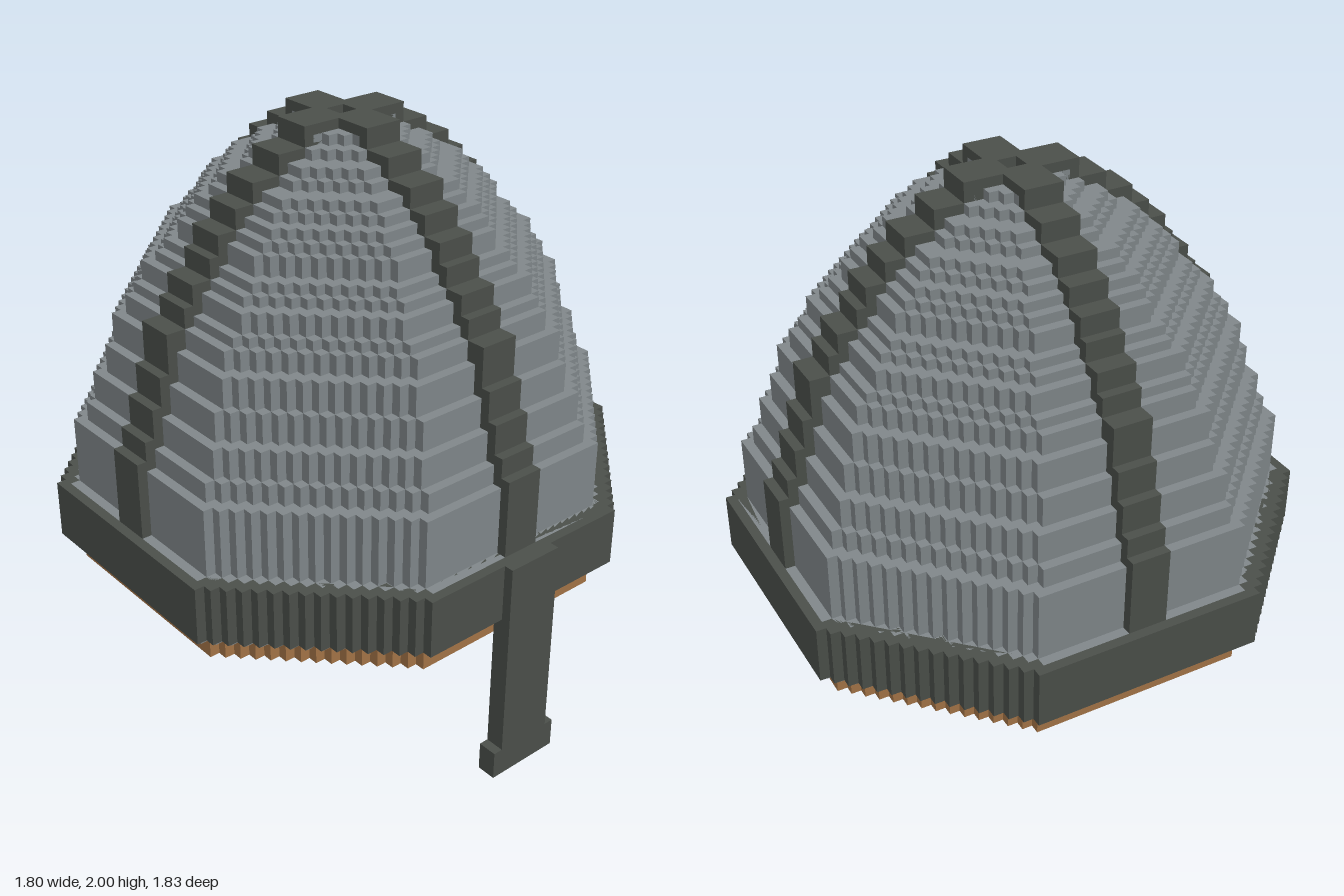
import * as THREE from 'three';

const U = 1 / 30;        // voxel size
const CZ = -0.5;         // bowl centre in z, in voxels

const mat = (name, color) => {
  const m = new THREE.MeshStandardMaterial({ color });
  m.name = name;
  return m;
};

// Stair-stepped octagon outline with radius R and flat half-length f (voxels)
function octagon(R, f = Math.floor(0.4142 * R + 0.7)) {
  const quarter = [[R, f]];
  for (let k = 0; k < R - f; k++) {
    quarter.push([R - 1 - k, f + k], [R - 1 - k, f + k + 1]);
  }
  const pts = [];
  for (let q = 0; q < 4; q++) {
    for (const [x, y] of quarter) {
      const [a, b] = [[x, y], [-y, x], [-x, -y], [y, -x]][q];
      pts.push(new THREE.Vector2(a * U, b * U));
    }
  }
  return pts;
}

// Octagonal ring from layer y0 to y1; solid when no inner radius is given
function ring(name, material, R, inner, y0, y1, f) {
  const shape = new THREE.Shape(octagon(R, f));
  if (inner) shape.holes.push(new THREE.Path(octagon(inner)));
  const geo = new THREE.ExtrudeGeometry(shape, { depth: (y1 - y0) * U, bevelEnabled: false });
  geo.rotateX(-Math.PI / 2);
  const mesh = new THREE.Mesh(geo, material);
  mesh.name = name;
  mesh.position.set(0, y0 * U, CZ * U);
  return mesh;
}

// Box given by its voxel limits
function block(name, material, x0, x1, y0, y1, z0, z1) {
  const mesh = new THREE.Mesh(
    new THREE.BoxGeometry((x1 - x0) * U, (y1 - y0) * U, (z1 - z0) * U), material);
  mesh.position.set((x0 + x1) / 2 * U, (y0 + y1) / 2 * U, (z0 + z1) / 2 * U);
  mesh.name = name;
  return mesh;
}

export function createModel() {
  const model = new THREE.Group();
  model.name = 'helmet';
  const steel = mat('steel grey', 0x80878a);
  const iron = mat('dark iron', 0x4b4f4a);
  const leather = mat('tan leather', 0xa37447);

  // Leather lining, plate edge and iron brow band
  model.add(ring('lining', leather, 25, 23, 15, 24));
  model.add(ring('plateEdge', steel, 26, 25, 17, 24));
  model.add(ring('browBand', iron, 27, 25, 18, 24, 12));

  // Hollow dome: [top layer, radius]
  const dome = new THREE.Group();
  dome.name = 'dome';
  const steps = [[31, 25], [33, 24], [36, 23], [39, 22], [42, 21], [44, 20], [45, 19],
    [47, 18], [48, 17], [49, 16], [51, 15], [52, 14], [53, 13], [54, 12], [55, 11],
    [56, 9], [57, 8], [58, 6], [59, 5]];
  let y = 24;
  steps.forEach(([top, R], i) => {
    const next = steps[i + 1];
    const inner = next ? Math.min(R - 2, next[1] - 1) : 0;
    dome.add(ring('domeLayer', steel, R, inner, y, top));
    y = top;
  });
  model.add(dome);

  // Four iron ribs meeting at the crown: [top layer, radius]
  const ribSteps = [[32, 26], [34, 25], [37, 24], [40, 23], [44, 22], [46, 20], [48, 19],
    [50, 17], [52, 16], [54, 14], [56, 12], [58, 9], [60, 6]];
  for (let side = 0; side < 4; side++) {
    const rib = new THREE.Group();
    rib.name = 'rib';
    rib.position.z = CZ * U;
    rib.rotation.y = side * Math.PI / 2;
    let y0 = 24;
    ribSteps.forEach(([top, R], i) => {
      const next = ribSteps[i + 1];
      const inner = !next ? 1 : i === 0 ? 22.95 : next[1] - 2;
      rib.add(block('ribStep', iron, inner, R, y0, top, -2, 2));
      y0 = top;
    });
    model.add(rib);
  }

  // Nose guard with a wider foot
  model.add(block('noseGuard', iron, -3, 3, 3, 24, 25.5, 27.5));
  model.add(block('noseGuardFoot', iron, -4, 4, 0, 3, 25.5, 27.5));

  return model;
}
